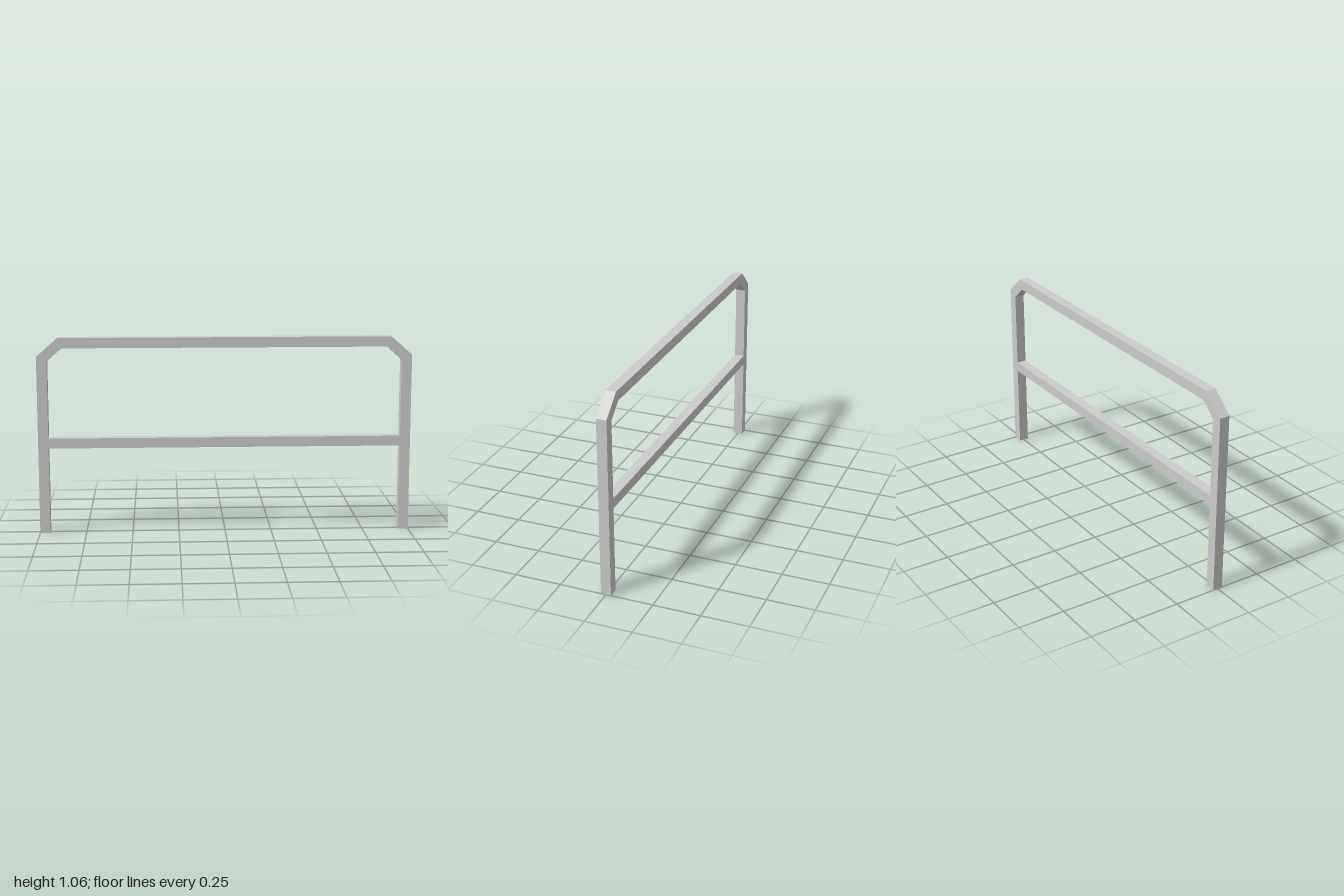
import * as THREE from 'three';

const HALF_DEPTH = 0.027;

// Open-ended square tube between matching outer and inner outlines in the xy plane
function tube(name, outer, inner, material) {
  const rings = outer.map(([ox, oy], i) => {
    const [ix, iy] = inner[i];
    return [
      [ox, oy, HALF_DEPTH], [ox, oy, -HALF_DEPTH],
      [ix, iy, -HALF_DEPTH], [ix, iy, HALF_DEPTH],
    ];
  });
  const positions = [];
  for (let i = 0; i < rings.length - 1; i++) {
    for (let j = 0; j < 4; j++) {
      const k = (j + 1) % 4;
      const a = rings[i][j], b = rings[i][k], c = rings[i + 1][k], d = rings[i + 1][j];
      positions.push(...a, ...d, ...c, ...a, ...c, ...b);
    }
  }
  const geometry = new THREE.BufferGeometry();
  geometry.setAttribute('position', new THREE.Float32BufferAttribute(positions, 3));
  geometry.computeVertexNormals();
  const mesh = new THREE.Mesh(geometry, material);
  mesh.name = name;
  return mesh;
}

// Completes a left-to-right outline from its left half
const mirrored = (half) => [...half, ...half.map(([x, y]) => [-x, y]).reverse()];

export function createModel() {
  const group = new THREE.Group();
  group.name = 'railing';
  const material = new THREE.MeshStandardMaterial({
    color: 0xcccccc, flatShading: true, side: THREE.DoubleSide,
  });

  // Legs, chamfered corners and top rail as one bent tube
  group.add(tube(
    'frame',
    mirrored([[-1, 0], [-1, 0.958], [-0.887, 1.057]]),
    mirrored([[-0.945, 0], [-0.945, 0.932], [-0.865, 1.002]]),
    material,
  ));

  // Middle rail between the legs
  group.add(tube(
    'middleRail',
    mirrored([[-0.945, 0.518]]),
    mirrored([[-0.945, 0.464]]),
    material,
  ));
  return group;
}
